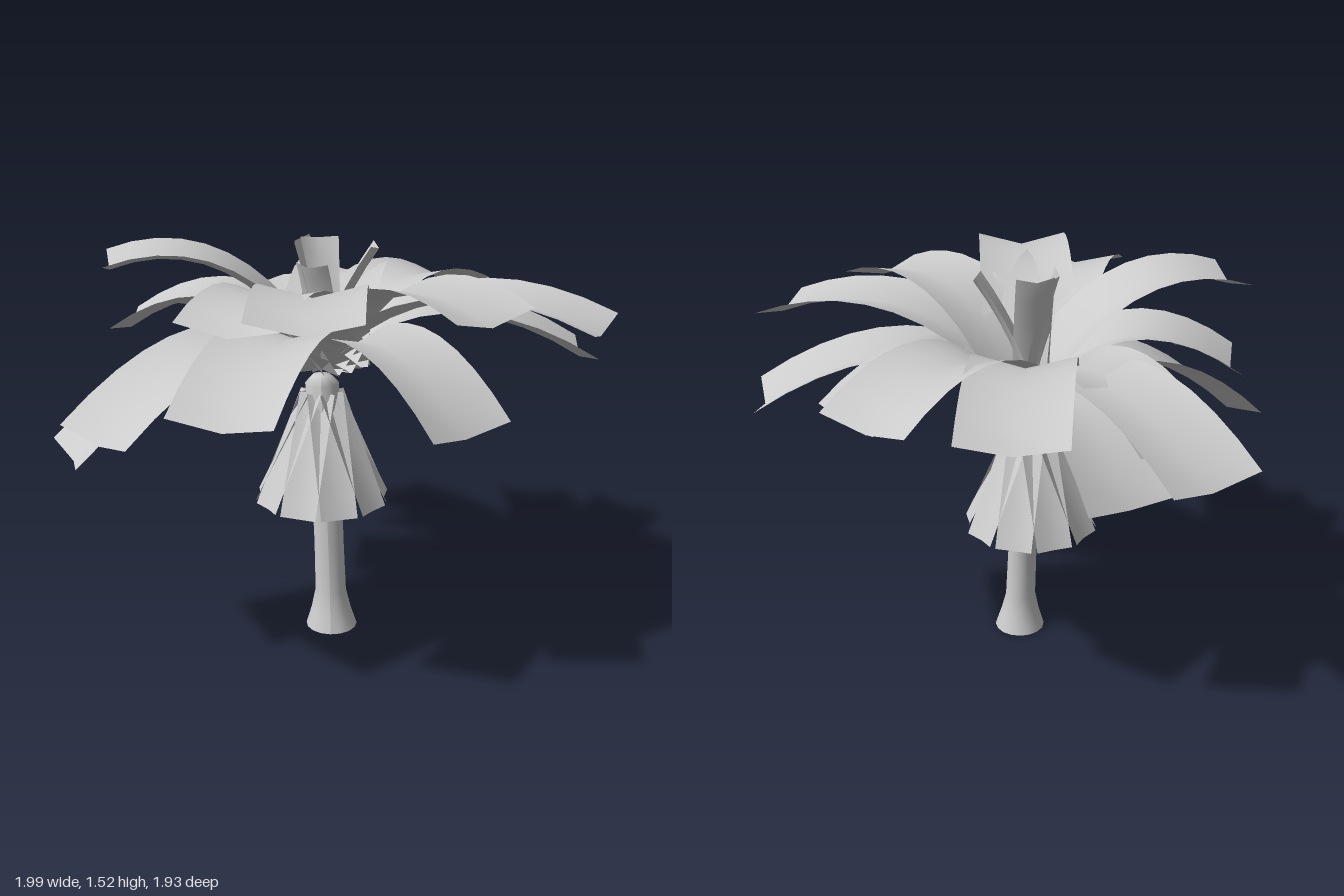
import * as THREE from 'three';

const leafMat = new THREE.MeshStandardMaterial({ color: 0xcccccc, side: THREE.DoubleSide });
const CROWN = new THREE.Vector3(-0.04, 1.03, 0.01);

// A strip of constant width, folded up along its midrib, swept along a curve in the (radius, y) plane
function strip(name, curve, azimuth, width, fold, segments) {
  const geo = new THREE.PlaneGeometry(1, 1, 2, segments);
  const pos = geo.attributes.position;
  for (let i = 0; i < pos.count; i++) {
    const side = pos.getX(i) * 2;
    const t = 0.5 - pos.getY(i);
    const p = curve.getPoint(t);
    const d = curve.getTangent(t);
    const lift = fold * Math.abs(side);
    pos.setXYZ(i, p.x - d.y * lift, p.y + d.x * lift, side * width / 2);
  }
  geo.computeVertexNormals();
  const mesh = new THREE.Mesh(geo, leafMat);
  mesh.name = name;
  mesh.rotation.y = -THREE.MathUtils.degToRad(azimuth);
  mesh.position.set(CROWN.x, 0, CROWN.z);
  return mesh;
}

// Curve from the crown, over an arch, to the tip
function arch(reach, tipY, controlX, controlY) {
  return new THREE.QuadraticBezierCurve(
    new THREE.Vector2(0, CROWN.y),
    new THREE.Vector2(controlX, controlY),
    new THREE.Vector2(reach, tipY)
  );
}

// Flared trunk, open at the foot, that leans gently towards the crown
function makeTrunk() {
  const profile = [
    [0.1, 0], [0.078, 0.07], [0.06, 0.15], [0.057, 0.35],
    [0.058, 0.6], [0.06, 0.8], [0.064, 0.98], [0.035, 1.01], [0, 1.012]
  ].map(([r, y]) => new THREE.Vector2(r, y));
  const geo = new THREE.LatheGeometry(profile, 16);
  const pos = geo.attributes.position;
  for (let i = 0; i < pos.count; i++) {
    const t = pos.getY(i);
    pos.setX(i, pos.getX(i) - 0.04 * Math.pow(t, 1.3));
    pos.setZ(i, pos.getZ(i) + 0.08 - 0.07 * Math.pow(t, 1.8));
  }
  geo.computeVertexNormals();
  const trunk = new THREE.Mesh(geo, leafMat);
  trunk.name = 'trunk';
  return trunk;
}

export function createModel() {
  const model = new THREE.Group();
  model.name = 'palmTree';
  model.add(makeTrunk());

  // Skirt of dead leaves hanging round the trunk
  const skirt = new THREE.Group();
  skirt.name = 'deadLeafSkirt';
  const hang = new THREE.LineCurve(new THREE.Vector2(0.035, 0.945), new THREE.Vector2(0.24, 0.513));
  for (let i = 0; i < 10; i++) {
    skirt.add(strip('deadLeaf', hang, i * 36, 0.14, 0.015, 1));
  }
  model.add(skirt);

  // Arching fronds: azimuth from +x towards +z, reach, tip height
  const fronds = new THREE.Group();
  fronds.name = 'fronds';
  const layout = [
    [-5, 0.975, 1.07], [22, 1.03, 1.27], [47, 0.84, 1.35], [48, 0.76, 0.96],
    [90, 0.91, 1.39], [106, 0.92, 1.08], [108, 0.79, 1.34], [132, 1.0, 0.98],
    [153, 0.95, 0.81], [169, 0.76, 1.43], [185, 0.73, 1.17], [232, 0.71, 1.07],
    [245, 0.7, 0.89], [239, 1.0, 1.06], [277, 0.85, 1.19], [309, 0.88, 1.2],
    [325, 0.76, 1.12]
  ];
  for (const [azimuth, reach, tipY] of layout) {
    const curve = arch(reach, tipY, reach * 0.42, 0.97 + 0.43 * tipY);
    fronds.add(strip('frond', curve, azimuth, 0.36, 0.045, 10));
  }
  model.add(fronds);

  // Young upright leaves in the heart of the crown
  const heart = new THREE.Group();
  heart.name = 'youngLeaves';
  const young = [
    [262, 0.1, 1.51, 0.14], [190, 0.1, 1.51, 0.22], [3, 0.21, 1.49, 0.14], [115, 0.1, 1.43, 0.13]
  ];
  for (const [azimuth, reach, tipY, width] of young) {
    heart.add(strip('youngLeaf', arch(reach, tipY, reach * 0.3, 1.28), azimuth, width, 0.03, 6));
  }
  model.add(heart);

  return model;
}
